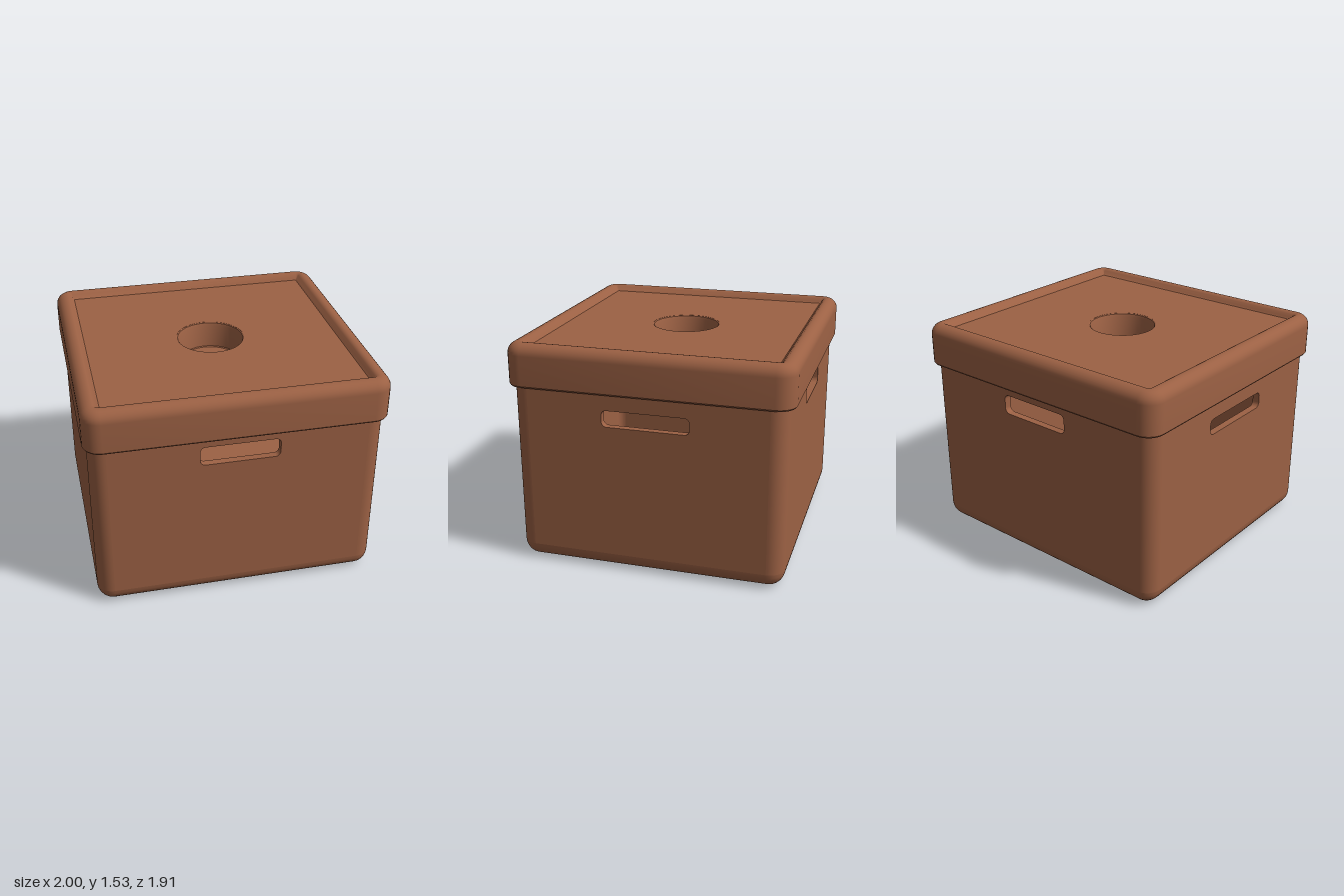
import * as THREE from 'three';
import { toCreasedNormals } from 'three/addons/utils/BufferGeometryUtils.js';

const plastic = new THREE.MeshStandardMaterial({ color: 0x9c6144 });
plastic.name = 'terracotta plastic';

function part(name, geometry) {
  const mesh = new THREE.Mesh(toCreasedNormals(geometry, 0.6), plastic);
  mesh.name = name;
  return mesh;
}

// Rounded rectangle ring, shrunk by an inset
function ring(hx, hz, r, inset, y, seg = 7) {
  const rad = Math.max(r - inset, 0.006);
  const cx = hx - inset - rad, cz = hz - inset - rad;
  const pts = [];
  [[1, 1], [-1, 1], [-1, -1], [1, -1]].forEach(([sx, sz], k) => {
    for (let i = 0; i <= seg; i++) {
      const a = (k + i / seg) * Math.PI / 2;
      pts.push([sx * cx + rad * Math.cos(a), y, sz * cz + rad * Math.sin(a)]);
    }
  });
  return pts;
}

// Skin a profile of [inset, y] around a rounded rectangle
function loft(hx, hz, r, profile, capped) {
  const rings = profile.map(([inset, y]) => ring(hx, hz, r, inset, y));
  const n = rings[0].length, pos = rings.flat(2), index = [];
  for (let i = 0; i < rings.length - 1; i++) {
    for (let j = 0; j < n; j++) {
      const a = i * n + j, b = i * n + (j + 1) % n;
      index.push(a, a + n, b, b, a + n, b + n);
    }
  }
  if (capped) {
    const first = rings.length * n, last = (rings.length - 1) * n;
    pos.push(0, profile[0][1], 0, 0, profile[profile.length - 1][1], 0);
    for (let j = 0; j < n; j++) {
      const k = (j + 1) % n;
      index.push(first, j, k, first + 1, last + k, last + j);
    }
  }
  const g = new THREE.BufferGeometry();
  g.setAttribute('position', new THREE.Float32BufferAttribute(pos, 3));
  g.setIndex(index);
  return g;
}

// Quarter-round profile points, from the vertical side to the horizontal face
function fillet(r, y, dir, steps = 7) {
  return Array.from({ length: steps + 1 }, (_, i) => {
    const a = i / steps * Math.PI / 2;
    return [r * (1 - Math.cos(a)), y + dir * r * Math.sin(a)];
  });
}

function roundedRect(path, x0, y0, x1, y1, r) {
  path.absarc(x1 - r, y1 - r, r, 0, Math.PI / 2);
  path.absarc(x0 + r, y1 - r, r, Math.PI / 2, Math.PI);
  path.absarc(x0 + r, y0 + r, r, Math.PI, Math.PI * 1.5);
  path.absarc(x1 - r, y0 + r, r, Math.PI * 1.5, Math.PI * 2);
  path.closePath();
  return path;
}

export function createModel() {
  const model = new THREE.Group();
  model.name = 'storageBox';
  const HX = 0.972, HZ = 0.918, R = 0.11, WALL = 0.05, Y0 = 0.115, Y1 = 1.42;

  // Box: rounded tray at the bottom
  const box = new THREE.Group();
  box.name = 'box';
  model.add(box);
  box.add(part('boxBottom', loft(HX, HZ, R, [
    ...fillet(R, 0.005 + R, -1).reverse(), [WALL, Y0], [WALL, 0.06],
  ], true)));

  // Walls with a hand slot through each
  const wall = (name, half, dist, turn, slot) => {
    const w = half - R;
    const s = new THREE.Shape();
    s.moveTo(-w, Y0);
    s.lineTo(w, Y0);
    s.lineTo(w, Y1);
    s.lineTo(-w, Y1);
    s.closePath();
    s.holes.push(roundedRect(new THREE.Path(), -slot[0], slot[1], slot[0], slot[2], 0.035));
    const g = new THREE.ExtrudeGeometry(s, { depth: WALL, bevelEnabled: false, curveSegments: 6 });
    g.translate(0, 0, dist - WALL);
    const m = part(name, g);
    m.rotation.y = turn;
    box.add(m);
  };
  const longSlot = [0.265, 1.058, 1.192], sideSlot = [0.295, 1.03, 1.142];
  wall('frontWall', HX, HZ, 0, longSlot);
  wall('backWall', HX, HZ, Math.PI, longSlot);
  wall('leftWall', HZ, HX, Math.PI / 2, sideSlot);
  wall('rightWall', HZ, HX, -Math.PI / 2, sideSlot);

  // Rounded upright corners
  const quarter = new THREE.Shape();
  quarter.absarc(0, 0, R, 0, Math.PI / 2, false);
  quarter.absarc(0, 0, R - WALL, Math.PI / 2, 0, true);
  quarter.closePath();
  [[1, -1], [-1, -1], [-1, 1], [1, 1]].forEach(([sx, sz], k) => {
    const g = new THREE.ExtrudeGeometry(quarter, { depth: Y1 - Y0, bevelEnabled: false, curveSegments: 7 });
    g.rotateX(-Math.PI / 2);
    const m = part('cornerPost', g);
    m.rotation.y = k * Math.PI / 2;
    m.position.set(sx * (HX - R), Y0, sz * (HZ - R));
    box.add(m);
  });

  // Lid: skirt, rounded rim and step down to the panel
  const lid = new THREE.Group();
  lid.name = 'lid';
  model.add(lid);
  const LX = 1, LZ = 0.956, IN = 0.13;
  lid.add(part('lidRim', loft(LX, LZ, 0.12, [
    [IN, 1.44], [0.026, 1.44], [0.026, 1.258], [0.018, 1.25], [0.008, 1.251], [0, 1.262],
    ...fillet(0.075, 1.465, 1), [0.09, 1.538], [0.105, 1.528], [0.117, 1.51], [IN, 1.497],
  ], false)));

  // Sunken lid panel with a round opening
  const panel = roundedRect(new THREE.Shape(), -LX + IN, -LZ + IN, LX - IN, LZ - IN, 0.006);
  const opening = new THREE.Path();
  opening.absarc(0, 0, 0.235, 0, Math.PI * 2);
  panel.holes.push(opening);
  const panelGeo = new THREE.ExtrudeGeometry(panel, { depth: 0.057, bevelEnabled: false, curveSegments: 24 });
  panelGeo.rotateX(-Math.PI / 2).translate(0, 1.44, 0);
  lid.add(part('lidPanel', panelGeo));

  // Round cup set into the opening
  const cup = [[0, 1.28], [0.225, 1.28], [0.237, 1.45], [0.237, 1.497], [0.228, 1.492],
    [0.222, 1.475], [0.206, 1.32], [0.2, 1.314], [0, 1.314]];
  lid.add(part('fingerCup', new THREE.LatheGeometry(cup.map(p => new THREE.Vector2(...p)), 48)));

  return model;
}
